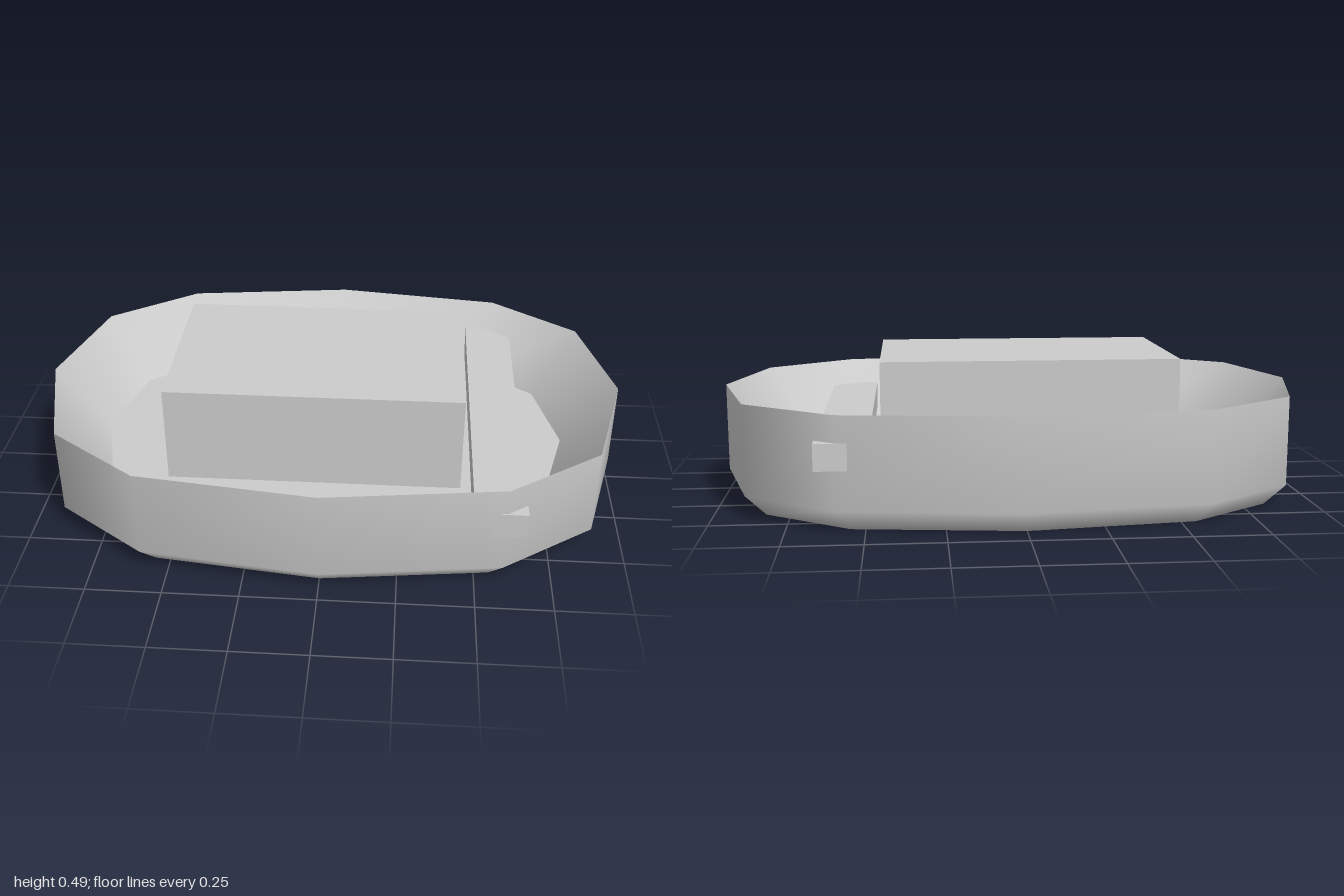
import * as THREE from 'three';

// Mirrors one quarter outline (from +x end to +z side) into a closed ring of 12 points
function ring(quarter, y, sx = 1, sz = 1) {
  const [a, b, c, d] = quarter;
  const flip = ([x, z], mx, mz) => [x * mx * sx, y, z * mz * sz];
  return [
    flip(a, 1, 1), flip(b, 1, 1), flip(c, 1, 1), flip(d, 1, 1),
    flip(c, -1, 1), flip(b, -1, 1), flip(a, -1, 1),
    flip(b, -1, -1), flip(c, -1, -1), flip(d, 1, -1),
    flip(c, 1, -1), flip(b, 1, -1),
  ];
}

// Skins a list of rings; optional fan cap on the first ring (down) or last ring (up)
function skin(rings, { capStart = false, capEnd = false } = {}) {
  const n = rings[0].length;
  const pos = rings.flat(2);
  const index = [];
  for (let r = 0; r + 1 < rings.length; r++) {
    for (let i = 0; i < n; i++) {
      const j = (i + 1) % n;
      const a = r * n, b = a + n;
      index.push(a + i, b + i, a + j, b + i, b + j, a + j);
    }
  }
  const cap = (base, y, up) => {
    const c = pos.length / 3;
    pos.push(0, y, 0);
    for (let i = 0; i < n; i++) {
      const j = (i + 1) % n;
      if (up) index.push(c, base + j, base + i);
      else index.push(c, base + i, base + j);
    }
  };
  if (capStart) cap(0, rings[0][0][1], false);
  if (capEnd) cap((rings.length - 1) * n, rings[rings.length - 1][0][1], true);
  const geo = new THREE.BufferGeometry();
  geo.setAttribute('position', new THREE.Float32BufferAttribute(pos, 3));
  geo.setIndex(index);
  geo.computeVertexNormals();
  return geo;
}

export function createModel() {
  const group = new THREE.Group();
  const grey = new THREE.MeshStandardMaterial({ color: 0xcccccc });
  grey.name = 'light grey';

  const add = (name, geo, x = 0, y = 0, z = 0) => {
    const mesh = new THREE.Mesh(geo, grey);
    mesh.name = name;
    mesh.position.set(x, y, z);
    group.add(mesh);
  };

  const outer = [[1, 0], [0.893, 0.417], [0.59, 0.637], [0, 0.712]];
  const inner = [[0.82, 0], [0.74, 0.318], [0.52, 0.476], [0, 0.54]];
  const rimY = 0.374, floorY = 0.15;

  // Hull shell: closed bottom, chamfer and upright sides
  add('hullOutside', skin([
    ring(outer, 0, 0.93, 0.905), ring(outer, 0.073), ring(outer, rimY),
  ], { capStart: true }));

  // Sloping inside wall from the sharp rim down to the floor
  add('hullInside', skin([ring(outer, rimY), ring(inner, floorY)]));
  add('floor', skin([ring(inner, floorY)], { capEnd: true }));

  // Raised block standing on the floor
  add('centreBlock', new THREE.BoxGeometry(1, 0.49 - floorY, 0.64), -0.045, (0.49 + floorY) / 2, 0);

  // Cross beam whose ends poke through the sides
  add('crossBeam', new THREE.BoxGeometry(0.168, 0.086, 1.284), 0.571, 0.244, 0);

  return group;
}
